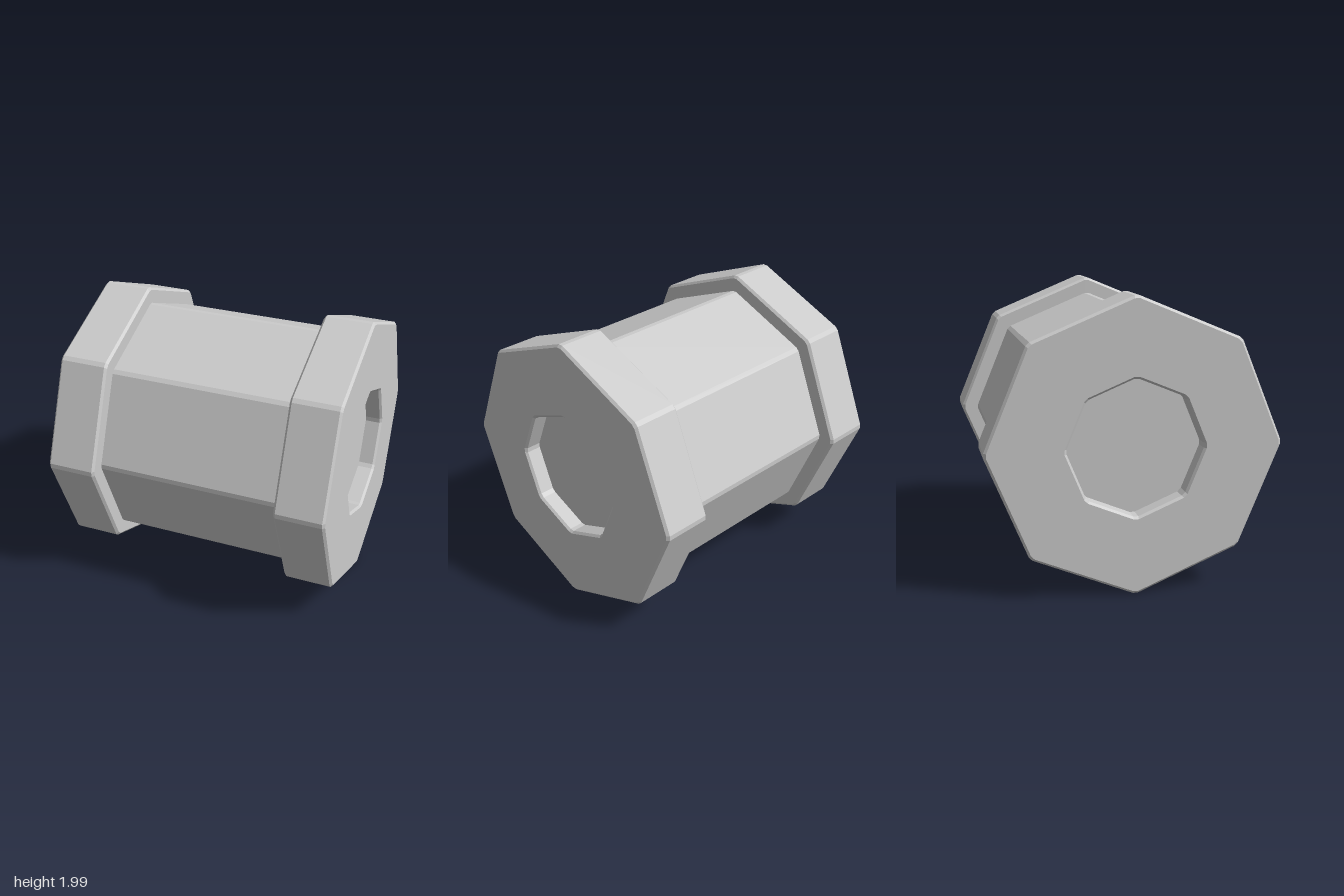
import * as THREE from 'three';

const CORNER = 0.017; // half width of the flat that blunts each octagon corner
const CENTRE_Y = 0.993;

// Octagonal ring around the x axis, corners up, each corner cut flat
function ring(x, radius) {
  const w = Math.min(CORNER, radius * 0.3);
  const points = [];
  for (let k = 0; k < 8; k++) {
    const a = (k * Math.PI) / 4, c = Math.cos(a), s = Math.sin(a);
    for (const t of [-w, w]) points.push([x, radius * c - t * s, radius * s + t * c]);
  }
  return points;
}

// Skin a list of [x, radius] stations running towards +x on the outside
function loft(stations) {
  const rings = stations.map(([x, r]) => ring(x, r));
  const n = 16, index = [];
  for (let i = 0; i < rings.length - 1; i++) {
    for (let j = 0; j < n; j++) {
      const a = i * n + j, b = i * n + (j + 1) % n;
      index.push(a, b, b + n, a, b + n, a + n);
    }
  }
  const geometry = new THREE.BufferGeometry();
  geometry.setAttribute('position', new THREE.Float32BufferAttribute(rings.flat(2), 3));
  geometry.setIndex(index);
  const flat = geometry.toNonIndexed();
  flat.computeVertexNormals();
  return flat;
}

export function createModel() {
  const group = new THREE.Group();
  const material = new THREE.MeshStandardMaterial({ color: 0xcccccc, flatShading: true });

  function add(name, geometry) {
    const mesh = new THREE.Mesh(geometry, material);
    mesh.name = name;
    mesh.position.y = CENTRE_Y;
    group.add(mesh);
    return mesh;
  }

  // Middle barrel
  add('barrel', loft([[-0.66, 0.875], [0.66, 0.875]]));

  // End flange: bevelled rim, then a bevelled octagonal recess with a floor
  const flange = loft([
    [0.65, 0.8], [0.65, 0.975], [0.666, 0.993], [0.984, 0.993], [1, 0.975],
    [1, 0.475], [0.984, 0.459], [0.88, 0.459], [0.88, 0],
  ]);
  add('leftFlange', flange);
  add('rightFlange', flange).rotation.y = Math.PI;

  return group;
}
